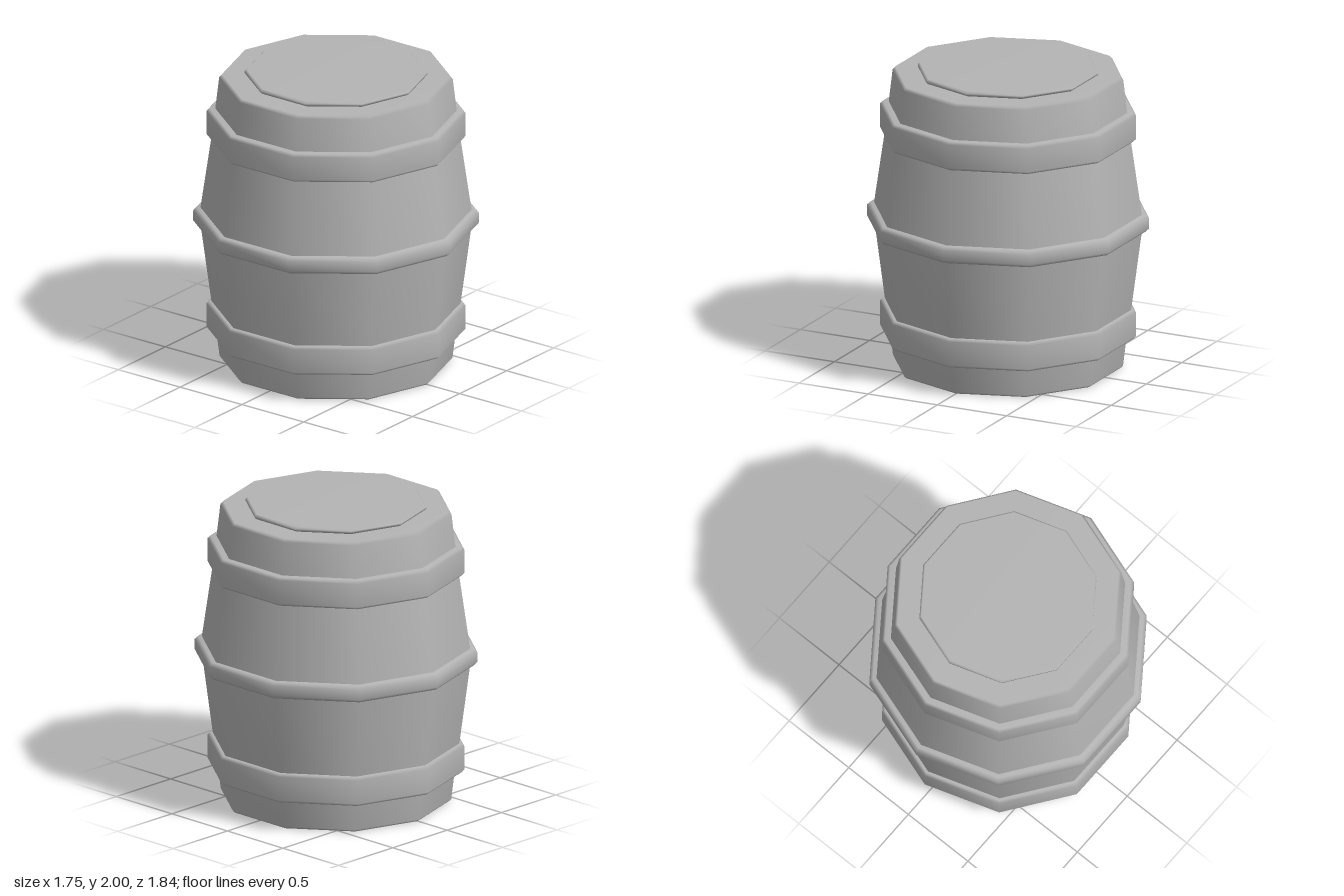
import * as THREE from 'three';

const SIDES = 10;

export function createModel() {
  const barrel = new THREE.Group();
  barrel.name = 'barrel';

  const grey = new THREE.MeshStandardMaterial({ color: 0xb4b4b4 });
  grey.name = 'grey';

  // ten-sided turned part; profile runs bottom to top as [radius, height]
  function turned(name, profile) {
    const points = profile.map(([r, y]) => new THREE.Vector2(r, y));
    const mesh = new THREE.Mesh(new THREE.LatheGeometry(points, SIDES), grey);
    mesh.name = name;
    barrel.add(mesh);
  }

  // bulging staves with slightly bevelled rims
  turned('body', [
    [0, 0], [0.735, 0], [0.75, 0.015], [0.772, 0.2], [0.802, 0.39], [0.873, 0.93],
    [0.873, 1.04], [0.802, 1.53], [0.777, 1.73], [0.752, 1.945], [0.735, 1.965], [0, 1.965],
  ]);

  // hoops: rings with bevelled outer edges, sunk into the body
  function hoop(name, bottom, top, radius, inner, bevel) {
    turned(name, [
      [inner, bottom], [radius - bevel, bottom], [radius, bottom + bevel],
      [radius, top - bevel], [radius - bevel, top], [inner, top],
    ]);
  }
  hoop('lowerHoop', 0.2, 0.395, 0.835, 0.74, 0.018);
  hoop('middleHoop', 0.93, 1.042, 0.92, 0.84, 0.022);
  hoop('upperHoop', 1.535, 1.728, 0.835, 0.74, 0.018);

  // thin lid
  turned('lid', [[0.57, 1.963], [0.588, 1.975], [0.588, 1.987], [0.575, 2], [0, 2]]);

  return barrel;
}
